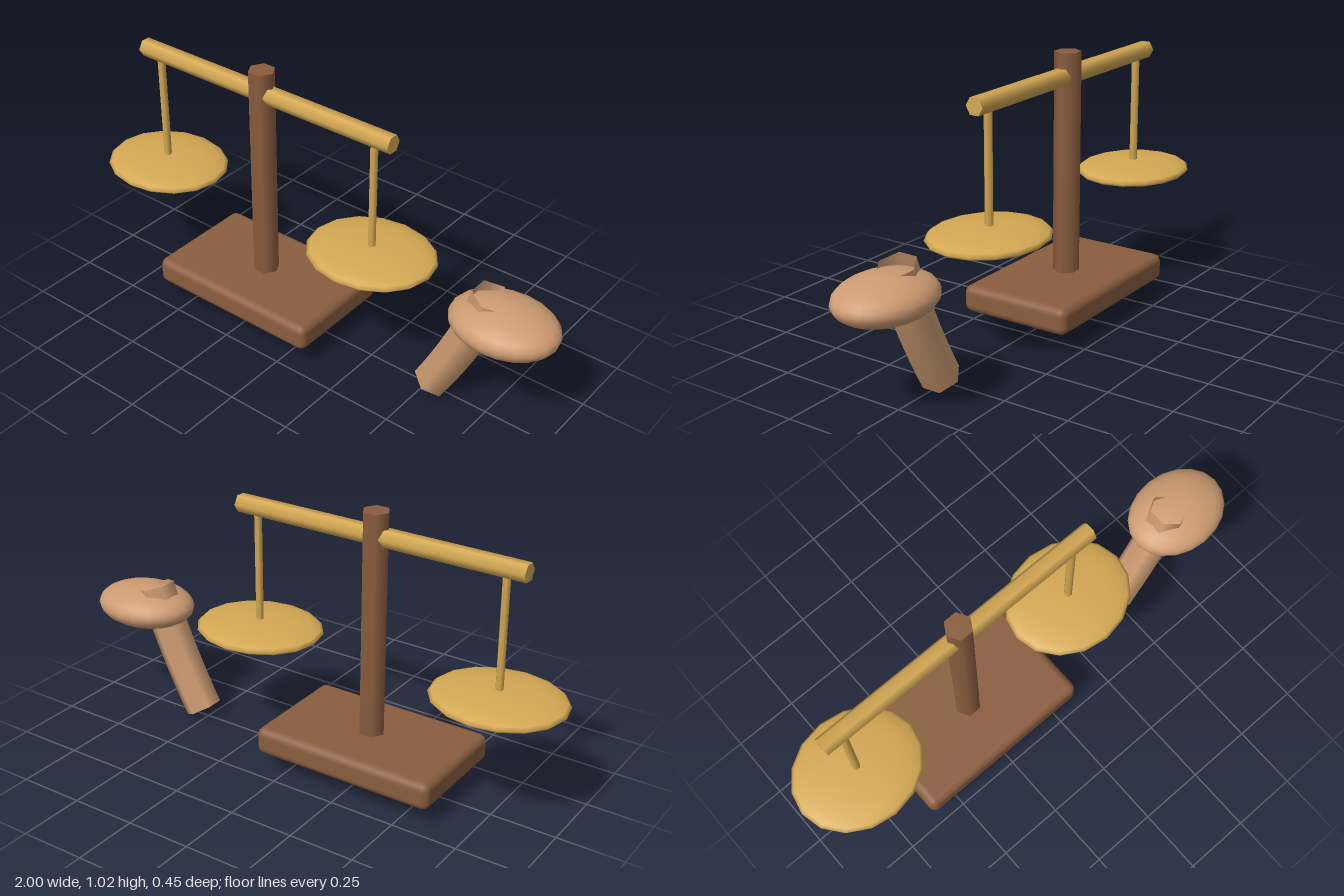
import * as THREE from 'three';
import { RoundedBoxGeometry } from 'three/addons/geometries/RoundedBoxGeometry.js';

export function createModel() {
  const group = new THREE.Group();
  const material = (name, color, side = THREE.FrontSide) => {
    const m = new THREE.MeshStandardMaterial({ color, side });
    m.name = name;
    return m;
  };
  const wood = material('dark wood', 0x8b5e3f);
  const brass = material('brass', 0xd4a853);
  const tan = material('tan', 0xcd9b72, THREE.DoubleSide);

  const add = (name, geometry, mat, x, y, z = 0) => {
    const mesh = new THREE.Mesh(geometry, mat);
    mesh.name = name;
    mesh.position.set(x, y, z);
    group.add(mesh);
    return mesh;
  };
  // Upright six-sided rod with its corners pointing along x
  const rod = (radius, length) =>
    new THREE.CylinderGeometry(radius, radius, length, 6).rotateY(Math.PI / 6);
  const ellipsoid = (rx, ry, rz, w, h) =>
    new THREE.SphereGeometry(1, w, h).scale(rx, ry, rz);

  const centre = -0.258;

  // Stand
  add('base', new RoundedBoxGeometry(0.718, 0.105, 0.448, 3, 0.03), wood, centre, 0.13);
  add('post', rod(0.05, 0.88), wood, centre, 0.59);

  // Cross beam, corners pointing along z
  const beam = new THREE.CylinderGeometry(0.035, 0.035, 1.146, 6).rotateZ(Math.PI / 2);
  add('beam', beam, brass, centre, 0.94);

  // Hangers and pans
  for (const side of [-1, 1]) {
    const x = centre + side * 0.495;
    const label = side < 0 ? 'right' : 'left';
    add(label + 'Hanger', rod(0.015, 0.46), brass, x, 0.71);
    add(label + 'Pan', ellipsoid(0.247, 0.037, 0.215, 16, 10), brass, x, 0.465);
  }

  // Gavel: a gently bent open handle passing through a flattened head
  const path = new THREE.QuadraticBezierCurve3(
    new THREE.Vector3(0.523, 0.037, 0),
    new THREE.Vector3(0.655, 0.27, 0),
    new THREE.Vector3(0.738, 0.51, 0)
  );
  add('gavelHandle', new THREE.TubeGeometry(path, 8, 0.072, 6, false), tan, 0, 0);
  add('gavelHead', ellipsoid(0.203, 0.079, 0.16, 20, 14), tan, 0.792, 0.421);

  return group;
}
